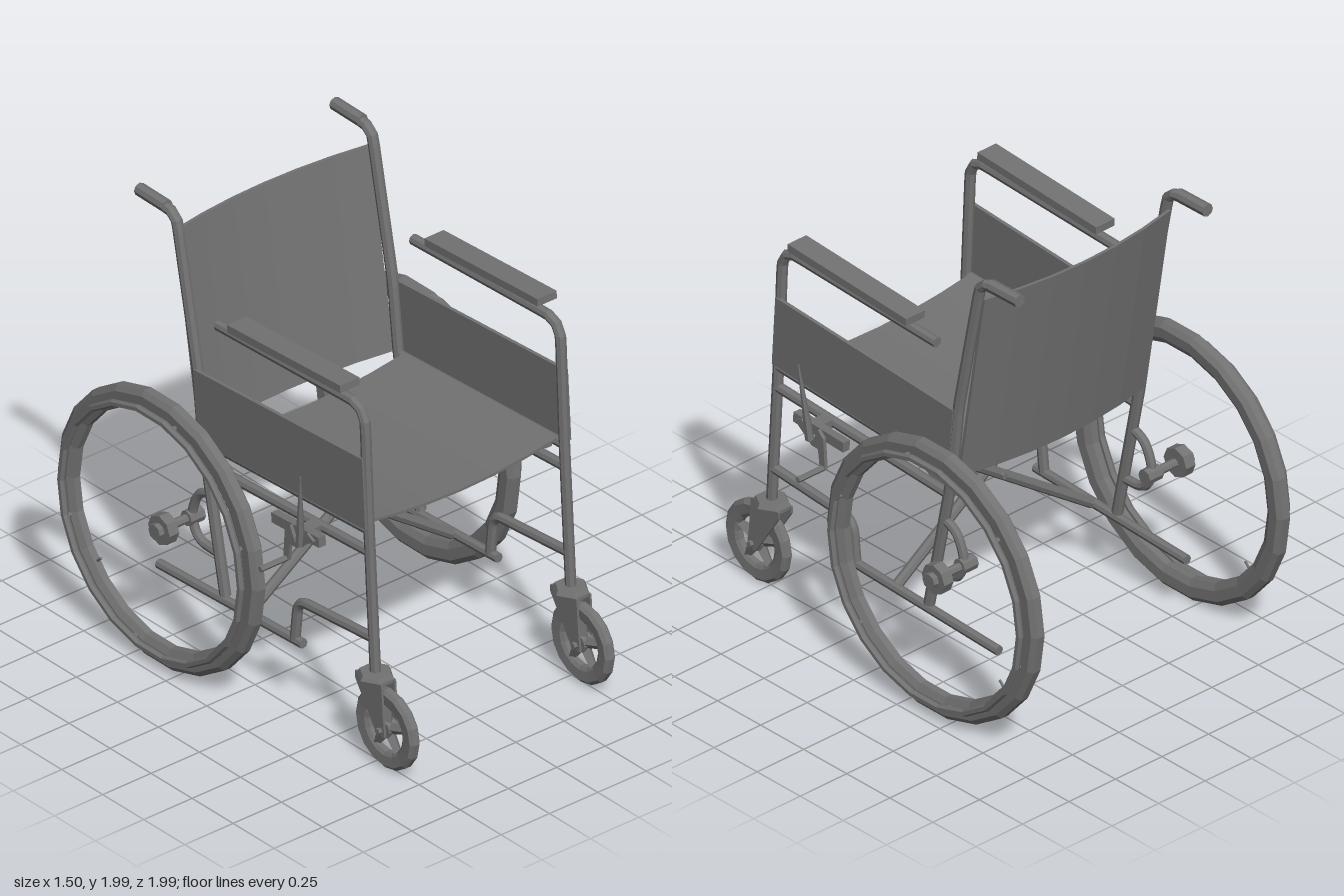
import * as THREE from 'three';

const V = (x, y, z) => new THREE.Vector3(x, y, z);
const material = new THREE.MeshStandardMaterial({ color: 0x727272, flatShading: true, side: THREE.DoubleSide });

function add(parent, name, geometry, x = 0, y = 0, z = 0) {
  const mesh = new THREE.Mesh(geometry, material);
  mesh.name = name;
  mesh.position.set(x, y, z);
  parent.add(mesh);
  return mesh;
}

// Straight capped bar between two points
function bar(parent, name, a, b, radius, sides = 8, endRadius = radius) {
  const mesh = add(parent, name, new THREE.CylinderGeometry(endRadius, radius, a.distanceTo(b), sides));
  mesh.position.copy(a).add(b).multiplyScalar(0.5);
  mesh.quaternion.setFromUnitVectors(V(0, 1, 0), b.clone().sub(a).normalize());
}

// Bent tube in a plane of constant x; points are [z, y], corners are rounded
function bentTube(parent, name, x, points, radius, bend = 0.07) {
  const p = points.map(([z, y]) => V(x, y, z));
  const path = new THREE.CurvePath();
  let from = p[0];
  for (let i = 1; i < p.length - 1; i++) {
    const toward = (q) => p[i].clone().add(q.clone().sub(p[i]).setLength(Math.min(bend, p[i].distanceTo(q) * 0.45)));
    const start = toward(p[i - 1]), end = toward(p[i + 1]);
    path.add(new THREE.LineCurve3(from, start));
    path.add(new THREE.QuadraticBezierCurve3(start, p[i], end));
    from = end;
  }
  path.add(new THREE.LineCurve3(from, p[p.length - 1]));
  add(parent, name, new THREE.TubeGeometry(path, 40, radius, 8));
  for (const t of [0, 1]) {
    const cap = add(parent, name + 'Cap', new THREE.CircleGeometry(radius, 8));
    cap.position.copy(path.getPointAt(t));
    cap.quaternion.setFromUnitVectors(V(0, 0, 1), path.getTangentAt(t).multiplyScalar(t ? 1 : -1));
  }
}

// Ring turned around the x axis from a closed [radius, x] profile
function ring(profile, segments) {
  const loop = [...profile, profile[0]].map(([r, x]) => new THREE.Vector2(r, x));
  return new THREE.LatheGeometry(loop, segments).rotateZ(Math.PI / 2);
}

// Flat plate from a [z, y] outline, centred on x = 0
function plate(outline, thickness) {
  const shape = new THREE.Shape(outline.map(([z, y]) => new THREE.Vector2(z, y)));
  return new THREE.ExtrudeGeometry(shape, { depth: thickness, bevelEnabled: false })
    .rotateY(-Math.PI / 2).translate(thickness / 2, 0, 0);
}

// Move each vertex of a geometry by a rule
function warp(geometry, rule) {
  const pos = geometry.attributes.position, v = V(0, 0, 0);
  for (let i = 0; i < pos.count; i++) {
    v.fromBufferAttribute(pos, i);
    rule(v);
    pos.setXYZ(i, v.x, v.y, v.z);
  }
  geometry.computeVertexNormals();
  return geometry;
}

function sideFrame(s) {
  const g = new THREE.Group(), X = 0.505 * s;
  g.name = s > 0 ? 'leftFrame' : 'rightFrame';
  // Front post running into the arm rail
  bentTube(g, 'frontPostAndArmRail', X, [[0.74, 0.4], [0.7, 1.06], [0.675, 1.6], [-0.22, 1.565]], 0.023, 0.09);
  // Back post and push handle
  bentTube(g, 'backPost', X, [[-0.175, 0.34], [-0.31, 1.0], [-0.345, 1.32], [-0.475, 1.96], [-0.69, 1.97]], 0.024, 0.05);
  bar(g, 'handGrip', V(X, 1.968, -0.53), V(X, 1.971, -0.7), 0.028);
  // Horizontal rails
  bar(g, 'seatRail', V(X, 1.045, 0.7), V(X, 0.995, -0.31), 0.022);
  bar(g, 'middleRail', V(X, 0.945, 0.7), V(X, 0.895, -0.28), 0.022);
  bar(g, 'bottomRail', V(X, 0.335, 0.3), V(X, 0.3, -0.58), 0.021);
  bentTube(g, 'footRail', X, [[0.73, 0.56], [0.27, 0.525], [0.25, 0.335]], 0.022, 0.06);
  // Cloth side panel
  add(g, 'sidePanel', plate([[0.71, 1.06], [0.69, 1.375], [-0.34, 1.315], [-0.31, 1.0]], 0.016), 0.525 * s);
  // Arm pad: a shallow channel on pegs
  const pad = new THREE.Group();
  pad.name = 'armPad';
  pad.position.set(0.51 * s, 1.643, 0.245);
  pad.rotation.x = -0.055;
  add(pad, 'padTop', new THREE.BoxGeometry(0.1, 0.014, 0.69), 0, 0.01);
  for (const k of [-1, 1]) {
    add(pad, 'padLip', new THREE.BoxGeometry(0.014, 0.034, 0.69), 0.043 * k);
    add(pad, 'padEnd', new THREE.BoxGeometry(0.1, 0.034, 0.014), 0, 0, 0.338 * k);
    bar(pad, 'padPeg', V(0, -0.06, 0.18 * k), V(0, 0.01, 0.18 * k), 0.012, 6);
  }
  g.add(pad);
  // Curved axle bracket and axle
  bentTube(g, 'axleBracket', X, [[-0.26, 0.77], [-0.34, 0.74], [-0.385, 0.62], [-0.34, 0.52], [-0.21, 0.515]], 0.02, 0.06);
  bar(g, 'axleSleeve', V(0.46 * s, 0.61, -0.38), V(0.535 * s, 0.61, -0.38), 0.034);
  bar(g, 'axle', V(0.47 * s, 0.61, -0.38), V(0.66 * s, 0.61, -0.38), 0.02);
  bar(g, 'hub', V(0.625 * s, 0.61, -0.38), V(0.675 * s, 0.61, -0.38), 0.066);
  bar(g, 'hubCap', V(0.67 * s, 0.61, -0.38), V(0.7 * s, 0.61, -0.38), 0.035);
  return g;
}

function rearWheel(s) {
  const g = new THREE.Group();
  g.name = s > 0 ? 'leftRearWheel' : 'rightRearWheel';
  g.position.set(0.66 * s, 0.612, -0.38);
  add(g, 'tyre', ring([[0.59, -0.035], [0.612, -0.018], [0.612, 0.018], [0.59, 0.035],
    [0.545, 0.033], [0.517, 0.016], [0.517, -0.016], [0.545, -0.033]], 22));
  add(g, 'handRim', new THREE.TorusGeometry(0.548, 0.016, 6, 22).rotateY(Math.PI / 2), 0.056 * s);
  for (let i = 0; i < 6; i++) {
    const a = i * Math.PI / 3 + 0.3, y = 0.546 * Math.sin(a), z = 0.546 * Math.cos(a);
    bar(g, 'rimStud', V(0.02 * s, y, z), V(0.056 * s, y, z), 0.011, 6);
  }
  bar(g, 'valve', V(0, -0.335, -0.4), V(0, -0.305, -0.37), 0.006, 5);
  return g;
}

function caster(s) {
  const g = new THREE.Group();
  g.name = s > 0 ? 'leftCaster' : 'rightCaster';
  g.position.x = 0.505 * s;
  // Wheel with five spokes
  add(g, 'casterTyre', ring([[0.163, -0.026], [0.178, -0.013], [0.178, 0.013], [0.163, 0.026],
    [0.12, 0.022], [0.105, 0.012], [0.105, -0.012], [0.12, -0.022]], 16), 0, 0.187, 0.815);
  bar(g, 'casterHub', V(-0.025, 0.187, 0.815), V(0.025, 0.187, 0.815), 0.04);
  for (let i = 0; i < 5; i++) {
    const a = Math.PI / 2 + i * Math.PI * 0.4, c = Math.cos(a), n = Math.sin(a);
    bar(g, 'casterSpoke', V(0, 0.187 + 0.02 * n, 0.815 + 0.02 * c),
      V(0, 0.187 + 0.115 * n, 0.815 + 0.115 * c), 0.026, 4, 0.018);
  }
  // Fork, swivel cap and axle bolt
  for (const k of [-1, 1])
    add(g, 'forkPlate', plate([[0.82, 0.395], [0.66, 0.395], [0.66, 0.365], [0.79, 0.165], [0.84, 0.165], [0.83, 0.26]], 0.01), 0.034 * k);
  add(g, 'forkCrown', new THREE.BoxGeometry(0.078, 0.014, 0.15), 0, 0.39, 0.74);
  add(g, 'swivelCap', new THREE.CylinderGeometry(0.066, 0.077, 0.02, 6).rotateY(Math.PI / 6), 0, 0.405, 0.74);
  bar(g, 'casterBolt', V(-0.055, 0.187, 0.815), V(0.055, 0.187, 0.815), 0.014, 6);
  return g;
}

function brake(s) {
  const g = new THREE.Group();
  g.name = s > 0 ? 'leftBrake' : 'rightBrake';
  add(g, 'brakeClamp', new THREE.BoxGeometry(0.06, 0.04, 0.06), 0.545 * s, 0.928, 0.4);
  add(g, 'brakeMount', new THREE.BoxGeometry(0.036, 0.045, 0.29), 0.585 * s, 0.927, 0.365).rotation.x = -0.05;
  add(g, 'brakePlate', plate([[0.49, 0.935], [0.45, 0.955], [0.36, 0.86], [0.39, 0.86]], 0.02), 0.605 * s);
  add(g, 'brakeArm', plate([[0.39, 0.87], [0.35, 0.95], [0.32, 0.92], [0.31, 0.78], [0.34, 0.78], [0.35, 0.86]], 0.016), 0.61 * s);
  bar(g, 'brakeLever', V(0.61 * s, 0.88, 0.405), V(0.64 * s, 1.22, 0.44), 0.02, 6, 0.004);
  bar(g, 'brakeShoe', V(0.6 * s, 0.785, 0.325), V(0.75 * s, 0.785, 0.325), 0.013, 6);
  return g;
}

export function createModel() {
  const model = new THREE.Group();
  model.name = 'wheelchair';
  for (const s of [1, -1]) model.add(sideFrame(s), rearWheel(s), caster(s), brake(s));

  // Sagging sling seat
  add(model, 'seat', warp(new THREE.BoxGeometry(0.99, 0.012, 0.94, 6, 1, 2), (v) => {
    v.y += 1.037 + 0.05 * v.z - 0.042 * (1 - (v.x / 0.495) ** 2);
    v.z += 0.2;
  }));
  // Backrest, leaning and bowed to the rear
  add(model, 'backrest', warp(new THREE.BoxGeometry(1, 0.88, 0.014, 6, 3, 1), (v) => {
    const bow = 1 - (v.x / 0.5) ** 2;
    v.z += -0.412 - 0.145 * (v.y / 0.88) - 0.053 * bow;
    v.y += 1.44 - 0.006 * bow;
  }));
  // Folding cross brace with its pivot bolt
  bar(model, 'crossBrace', V(-0.495, 1.01, 0.027), V(0.495, 0.325, 0.027), 0.023);
  bar(model, 'crossBrace', V(0.495, 1.01, -0.035), V(-0.495, 0.325, -0.035), 0.023);
  bar(model, 'pivotBolt', V(0, 0.668, -0.07), V(0, 0.668, 0.06), 0.014, 6);
  return model;
}
